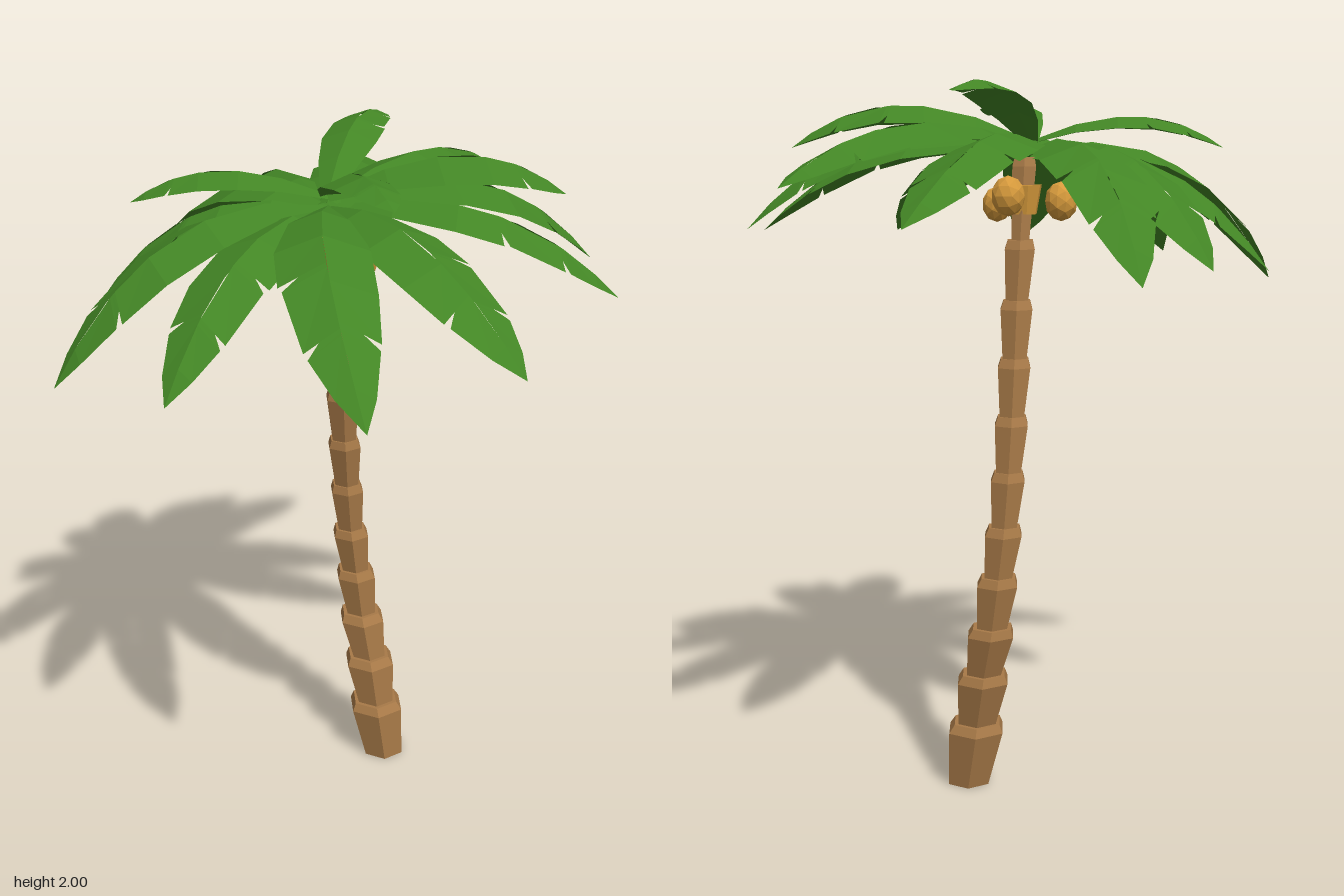
import * as THREE from 'three';

const mat = (name, color, extra = {}) => {
  const m = new THREE.MeshStandardMaterial({ color, flatShading: true, ...extra });
  m.name = name;
  return m;
};

// Leaf edge rows: [t on midrib, t on edge, half width]; the narrow rows are slits
const slit = (t, w) => [[t - 0.03, t, w], [t - 0.02, t - 0.015, w * 0.55], [t - 0.01, t + 0.02, w * 0.93]];
const root = [[0, 0, 0.25], [0.2, 0.2, 0.72], [0.4, 0.4, 1]];
const point = [[0.9, 0.91, 0.4], [1, 1, 0]];
const onceCut = [...root, [0.6, 0.6, 0.98], ...slit(0.76, 0.8), ...point];
const twiceCut = [...root, ...slit(0.56, 1), ...slit(0.78, 0.76), ...point];

// Arched leaf folded along its midrib; bend swings its middle sideways
function frondGeometry(base, tip, archY, halfWidth, flip, bend) {
  const side = new THREE.Vector3(tip.z - base.z, 0, base.x - tip.x).normalize();
  const middle = base.clone().lerp(tip, 0.6).setY(archY).addScaledVector(side, bend);
  const curve = new THREE.QuadraticBezierCurve3(base, middle, tip);
  const pos = [];
  for (const s of [1, -1]) {
    const rows = (s === flip ? twiceCut : onceCut).map(([t, e, w]) => {
      const edge = curve.getPoint(e).addScaledVector(side, s * w * halfWidth);
      edge.y -= w * halfWidth * 0.36;
      return [curve.getPoint(t), edge];
    });
    for (let i = 0; i + 1 < rows.length; i++) {
      const [a, b] = rows[i], [c, d] = rows[i + 1];
      const tris = s > 0 ? [a, b, d, a, d, c] : [a, d, b, a, c, d];
      tris.forEach((p) => pos.push(p.x, p.y, p.z));
    }
  }
  const g = new THREE.BufferGeometry();
  g.setAttribute('position', new THREE.Float32BufferAttribute(pos, 3));
  g.computeVertexNormals();
  return g;
}

export function createModel() {
  const model = new THREE.Group();
  model.name = 'palmTree';
  const bark = mat('bark', 0xa87a48);
  const leaf = mat('leaf', 0x438625, { side: THREE.DoubleSide });
  const nut = mat('coconut', 0xd69a3c);

  const add = (parent, name, geometry, material, p = [0, 0, 0]) => {
    const mesh = new THREE.Mesh(geometry, material);
    mesh.name = name;
    mesh.position.set(...p);
    parent.add(mesh);
    return mesh;
  };

  // Trunk: flared six-sided rings stacked along a bend, [x, y, z, radius] at each ring's top
  const trunk = new THREE.Group();
  trunk.name = 'trunk';
  const rings = [
    [0.205, 0, -0.07, 0], [0.183, 0.185, -0.088, 0.089], [0.168, 0.34, -0.112, 0.082],
    [0.15, 0.485, -0.139, 0.074], [0.133, 0.635, -0.148, 0.065], [0.115, 0.78, -0.147, 0.059],
    [0.1, 0.935, -0.139, 0.054], [0.085, 1.09, -0.121, 0.053], [0.072, 1.25, -0.103, 0.052],
    [0.06, 1.41, -0.084, 0.051], [0.045, 1.575, -0.066, 0.048], [0.025, 1.8, -0.04, 0.038],
  ];
  for (let i = 1; i < rings.length; i++) {
    const [x0, y0, z0] = rings[i - 1], [x1, y1, z1, r] = rings[i];
    const h = y1 - y0;
    const profile = [[0, 0], [r * 0.75, 0], [r, h - 0.02], [r * 0.84, h + 0.005], [0, h + 0.005]];
    const g = new THREE.LatheGeometry(profile.map((p) => new THREE.Vector2(...p)), 6, Math.PI / 4);
    const p = g.attributes.position;
    for (let k = 0; k < p.count; k++) {
      const f = p.getY(k) / h;
      p.setX(k, p.getX(k) + (x1 - x0) * f);
      p.setZ(k, p.getZ(k) + (z1 - z0) * f);
    }
    g.computeVertexNormals();
    add(trunk, 'trunkRing', g, bark, [x0, y0, z0]);
  }
  model.add(trunk);

  // Fronds: [tip x, tip y, tip z, arch height, half width, base height, sideways bend]
  const crown = new THREE.Group();
  crown.name = 'crown';
  const fronds = [
    // lower drooping leaves
    [-0.04, 1.515, -0.835, 1.97, 0.115, 1.82, 0.03], [0.5, 1.65, -0.7, 1.97, 0.115, 1.83, 0.1],
    [0.76, 1.74, -0.53, 1.99, 0.12, 1.84, 0], [0.785, 1.615, 0.02, 1.99, 0.125, 1.83, 0],
    [0.71, 1.595, 0.32, 1.94, 0.115, 1.82, -0.07], [0.24, 1.565, 0.74, 1.95, 0.12, 1.82, -0.08],
    [-0.2, 1.525, 0.835, 1.98, 0.12, 1.82, -0.11], [-0.58, 1.5, 0.47, 1.92, 0.11, 1.81, 0],
    [-0.785, 1.44, 0.1, 1.95, 0.12, 1.82, -0.02], [-0.567, 1.505, -0.375, 1.9, 0.11, 1.81, 0],
    [-0.28, 1.535, -0.68, 1.95, 0.125, 1.82, 0],
    // upper leaves
    [0.65, 1.83, 0.1, 2.05, 0.13, 1.85, 0], [0.32, 1.97, -0.45, 2.07, 0.08, 1.85, 0.03],
    [0, 1.925, 0.47, 2.05, 0.08, 1.85, -0.03], [-0.5, 1.83, -0.2, 1.99, 0.085, 1.85, 0],
  ];
  fronds.forEach(([x, y, z, arch, w, by, bend], i) => {
    const base = new THREE.Vector3(0.005, by, -0.035);
    const tip = new THREE.Vector3(x, y, z);
    add(crown, 'frond', frondGeometry(base, tip, arch, w, i % 2 ? 1 : -1, bend), leaf);
  });
  model.add(crown);

  // Coconuts under the crown, around a bud sheath on the trunk top
  const coconuts = new THREE.Group();
  coconuts.name = 'coconuts';
  const nuts = [[-0.083, 1.683, -0.035, 0.047], [0.092, 1.702, -0.115, 0.047], [0.09, 1.675, 0.015, 0.042]];
  nuts.forEach(([x, y, z, r], i) => {
    const m = add(coconuts, 'coconut', new THREE.IcosahedronGeometry(r, 1), nut, [x, y, z]);
    m.scale.y = 1.18;
    m.rotation.y = i;
  });
  add(coconuts, 'budSheath', new THREE.CylinderGeometry(0.055, 0.04, 0.08, 8), nut, [0.033, 1.69, -0.05]);
  model.add(coconuts);
  return model;
}
